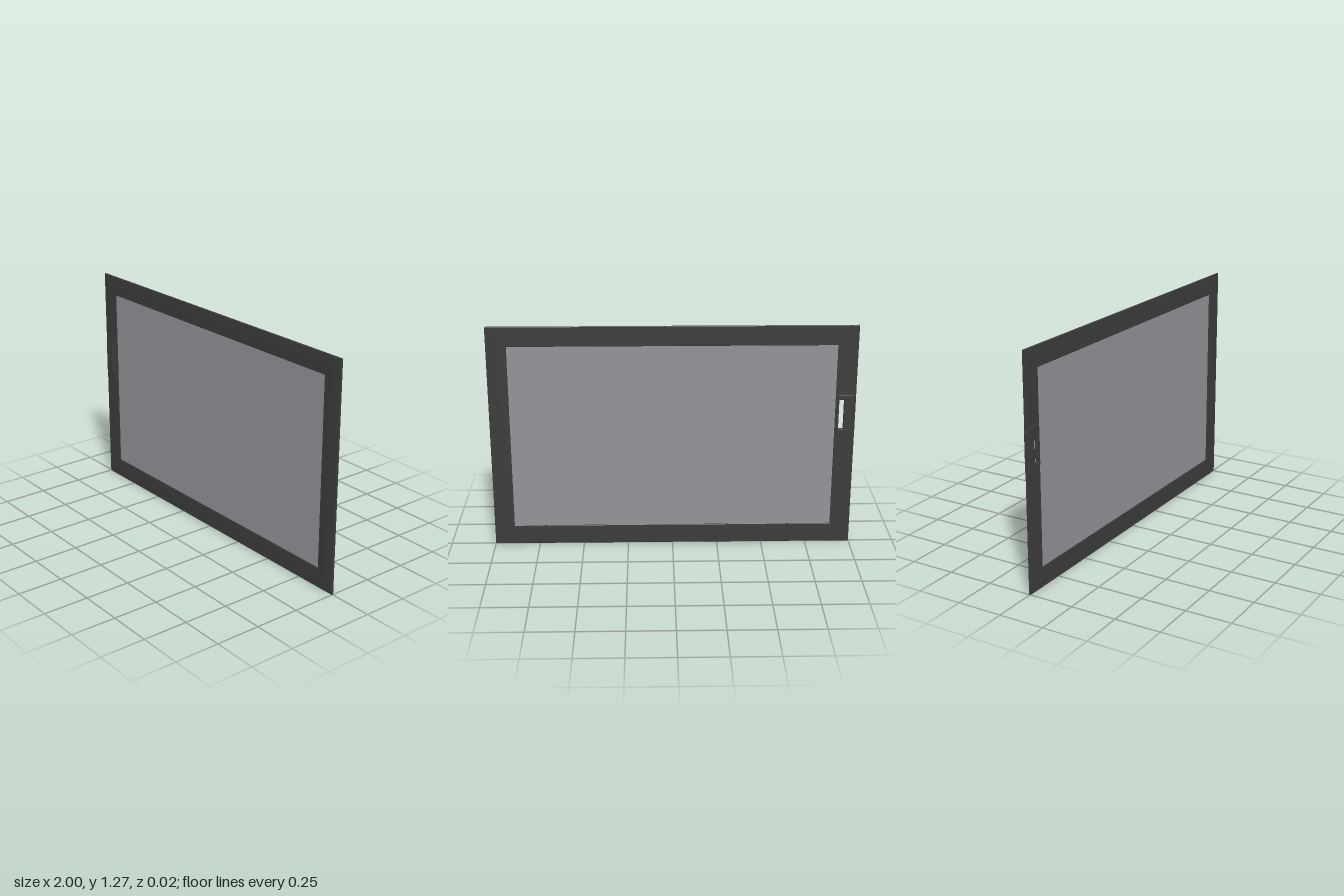
import * as THREE from 'three';

const W = 1, H = 1.27, F = 0.11;        // half width, height, frame width
const SLOT = [-0.937, 0.68, -0.91, 0.85]; // x0, y0, x1, y1
const GAP = [0.66, 0.86];               // part of the stile behind the handle

// Cross-section of a frame member: [fraction from outer to inner edge, z]
const PROFILE = [
  [0, 0.0045], [0.02, 0.0062], [0.5, 0.0068], [0.98, 0.0062], [1, 0.0045],
  [1, -0.0045], [0.98, -0.0062], [0.5, -0.0068], [0.02, -0.0062], [0, -0.0045],
];

// Frame member between two cuts; each cut is [outer point, inner point]
function member(name, a, b, material) {
  const point = (cut, [t, z]) => [
    cut[0][0] + (cut[1][0] - cut[0][0]) * t,
    cut[0][1] + (cut[1][1] - cut[0][1]) * t, z];
  const pos = [], n = PROFILE.length;
  for (let i = 0; i < n; i++) {
    const p = PROFILE[i], q = PROFILE[(i + 1) % n];
    const a0 = point(a, p), a1 = point(a, q), b0 = point(b, p), b1 = point(b, q);
    pos.push(...a0, ...b0, ...b1, ...a0, ...b1, ...a1);
  }
  const geo = new THREE.BufferGeometry();
  geo.setAttribute('position', new THREE.Float32BufferAttribute(pos, 3));
  geo.computeVertexNormals();
  const mesh = new THREE.Mesh(geo, material);
  mesh.name = name;
  return mesh;
}

function rect(Type, x0, y0, x1, y1) {
  return new Type([[x0, y0], [x1, y0], [x1, y1], [x0, y1]].map(p => new THREE.Vector2(...p)));
}

// Plate with the slot cut through it, centred on z = 0
function slottedPlate(name, x0, y0, x1, y1, depth, bevel, material) {
  const shape = rect(THREE.Shape, x0 + bevel, y0 + bevel, x1 - bevel, y1 - bevel);
  const [sx0, sy0, sx1, sy1] = SLOT;
  shape.holes.push(rect(THREE.Path, sx0 - bevel, sy0 - bevel, sx1 + bevel, sy1 + bevel));
  const geo = new THREE.ExtrudeGeometry(shape, {
    depth: depth - 2 * bevel, bevelEnabled: bevel > 0,
    bevelThickness: bevel, bevelSize: bevel, bevelSegments: 2,
  });
  geo.translate(0, 0, bevel - depth / 2);
  const mesh = new THREE.Mesh(geo, material);
  mesh.name = name;
  return mesh;
}

export function createModel() {
  const group = new THREE.Group();
  group.name = 'glazedPanel';
  const frameMat = new THREE.MeshStandardMaterial({ color: 0x3c3c3c });
  frameMat.name = 'dark frame';
  const glassMat = new THREE.MeshStandardMaterial({ color: 0x929398 });
  glassMat.name = 'grey glass';

  // Mitred corners and the cuts around the handle
  const corner = (sx, top) => [[sx * W, top ? H : 0], [sx * (W - F), top ? H - F : F]];
  const cut = y => [[-W, y], [-W + F, y]];
  const TL = corner(-1, true), TR = corner(1, true);
  const BL = corner(-1, false), BR = corner(1, false);

  // Frame, counter-clockwise
  group.add(
    member('topRail', TR, TL, frameMat),
    member('bottomRail', BL, BR, frameMat),
    member('leftStile', BR, TR, frameMat),
    member('rightStileUpper', TL, cut(GAP[1]), frameMat),
    member('rightStileLower', cut(GAP[0]), BL, frameMat),
    slottedPlate('rightStileMiddle', -W, GAP[0], -W + F, GAP[1], 0.0128, 0, frameMat),
  );

  // Handle plate with its through slot
  group.add(slottedPlate('handle', -0.992, 0.64, -0.901, 0.88, 0.022, 0.004, frameMat));

  // Glass pane
  const glass = new THREE.Mesh(
    new THREE.BoxGeometry(2 * (W - F) + 0.01, H - 2 * F + 0.01, 0.004), glassMat);
  glass.name = 'glassPane';
  glass.position.y = H / 2;
  group.add(glass);

  return group;
}
